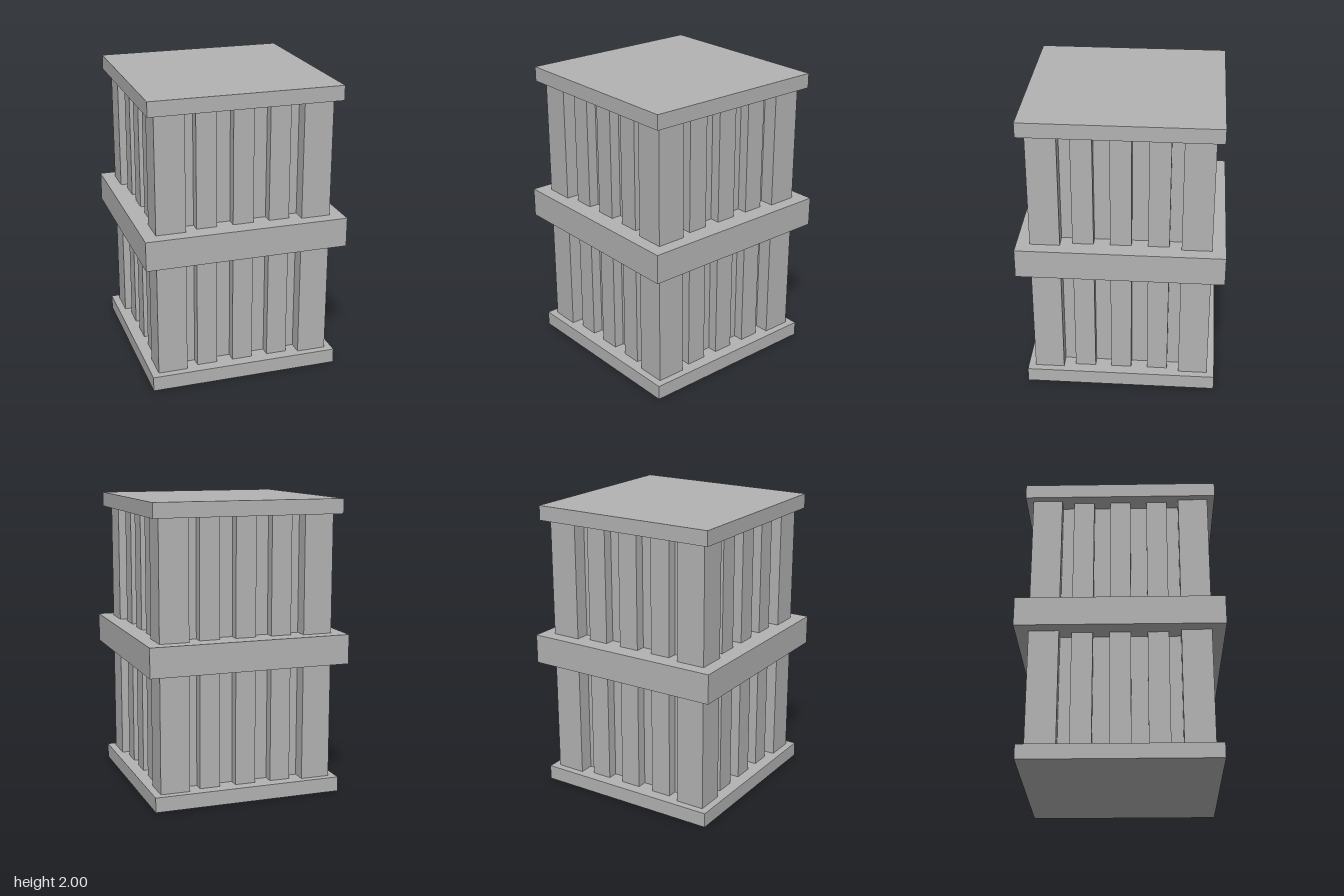
import * as THREE from 'three';

export function createModel() {
  const group = new THREE.Group();
  const grey = new THREE.MeshStandardMaterial({ color: 0xb2b2b2 });
  grey.name = 'grey';

  // Box standing on height y
  function box(name, w, h, d, x, y, z) {
    const mesh = new THREE.Mesh(new THREE.BoxGeometry(w, h, d), grey);
    mesh.name = name;
    mesh.position.set(x, y + h / 2, z);
    group.add(mesh);
  }

  // Horizontal slabs
  box('basePlate', 1.3, 0.1, 1.3, 0, 0, 0);
  box('middleBand', 1.38, 0.2, 1.38, 0, 0.9, 0);
  box('topPlate', 1.3, 0.1, 1.3, 0, 1.9, 0);

  // Two storeys: a core, corner posts and slats on each side
  for (const y of [0.1, 1.1]) {
    box('core', 1, 0.8, 1, 0, y, 0);
    for (const s of [-1, 1]) {
      for (const t of [-1, 1]) box('cornerPost', 0.2, 0.8, 0.2, s * 0.5, y, t * 0.5);
      for (const p of [-0.25, 0, 0.25]) {
        box('slat', 0.14, 0.8, 0.14, p, y, s * 0.5);
        box('slat', 0.14, 0.8, 0.14, s * 0.5, y, p);
      }
    }
  }
  return group;
}
